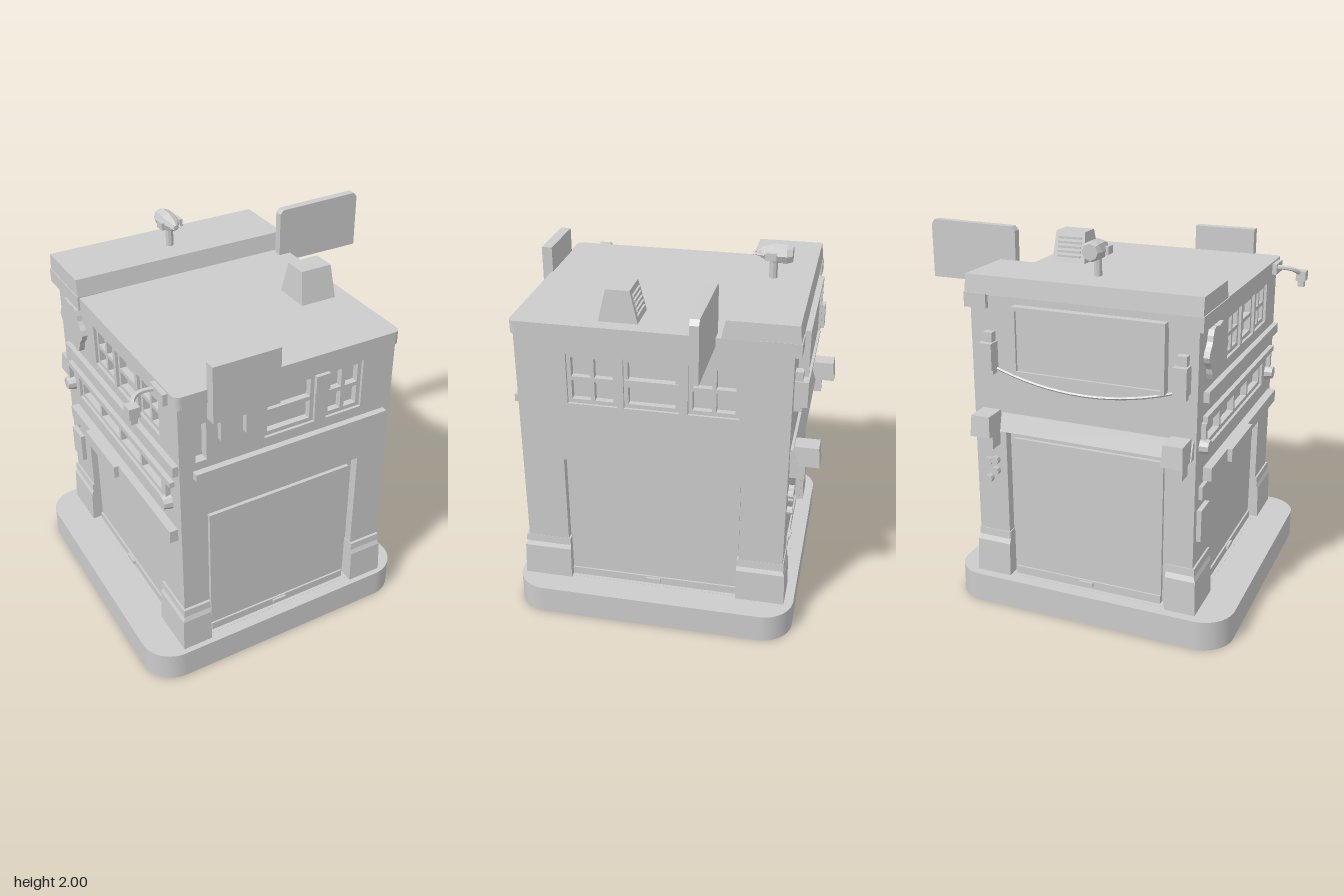
import * as THREE from 'three';

const mat = new THREE.MeshStandardMaterial({ color: 0xcccccc, flatShading: true });
const thin = new THREE.MeshStandardMaterial({ color: 0xcccccc, side: THREE.DoubleSide });

function add(parent, name, geo, m = mat) {
  const mesh = new THREE.Mesh(geo, m);
  mesh.name = name;
  parent.add(mesh);
  return mesh;
}

// box given by its limits along x, y and z
function box(parent, name, x0, x1, y0, y1, z0, z1) {
  const g = new THREE.BoxGeometry(x1 - x0, y1 - y0, z1 - z0);
  g.translate((x0 + x1) / 2, (y0 + y1) / 2, (z0 + z1) / 2);
  return add(parent, name, g);
}

// box whose top corners move to other x and z limits
function frustum(parent, name, [x0, x1, y0, y1, z0, z1], [tx0, tx1, tz0, tz1]) {
  const mesh = box(parent, name, x0, x1, y0, y1, z0, z1);
  const p = mesh.geometry.attributes.position;
  for (let i = 0; i < p.count; i++) {
    if (p.getY(i) < (y0 + y1) / 2) continue;
    p.setX(i, p.getX(i) < (x0 + x1) / 2 ? tx0 : tx1);
    p.setZ(i, p.getZ(i) < (z0 + z1) / 2 ? tz0 : tz1);
  }
  mesh.geometry.computeVertexNormals();
  return mesh;
}

function rectPath(T, x0, x1, y0, y1) {
  const s = new T();
  s.moveTo(x0, y0).lineTo(x1, y0).lineTo(x1, y1).lineTo(x0, y1).closePath();
  return s;
}

function roundedRect(x0, x1, y0, y1, r) {
  const s = new THREE.Shape();
  s.absarc(x1 - r, y1 - r, r, 0, Math.PI / 2);
  s.absarc(x0 + r, y1 - r, r, Math.PI / 2, Math.PI);
  s.absarc(x0 + r, y0 + r, r, Math.PI, Math.PI * 1.5);
  s.absarc(x1 - r, y0 + r, r, Math.PI * 1.5, Math.PI * 2);
  return s.closePath();
}

// plate with rectangular openings, from depth z0 to z1
function plate(parent, name, limits, holes, z0, z1) {
  const s = rectPath(THREE.Shape, ...limits);
  for (const h of holes) s.holes.push(rectPath(THREE.Path, ...h));
  const g = new THREE.ExtrudeGeometry(s, { depth: z1 - z0, bevelEnabled: false });
  return add(parent, name, g.translate(0, 0, z0));
}

// frame with a grid of glass openings
function windowFrame(face, [x0, x1, y0, y1], cols, rows, bar = 0.022) {
  const holes = [];
  const w = (x1 - x0 - bar * (cols + 1)) / cols, h = (y1 - y0 - bar * (rows + 1)) / rows;
  for (let c = 0; c < cols; c++) for (let r = 0; r < rows; r++) {
    const x = x0 + bar + c * (w + bar), y = y0 + bar + r * (h + bar);
    holes.push([x, x + w, y, y + h]);
  }
  plate(face, 'windowFrame', [x0, x1, y0, y1], holes, -0.05, -0.015);
}

// recessed roll door with bottom rail and handle
function door(face, [x0, x1, , y1], inset) {
  box(face, 'door', x0 + inset, x1 - inset, 0.16, y1 - inset * 2, -0.05, -0.03);
  box(face, 'doorRail', x0 + inset, x1 - inset, 0.16, 0.205, -0.05, -0.02);
  const c = (x0 + x1) / 2;
  box(face, 'doorHandle', c - 0.04, c + 0.04, 0.18, 0.2, -0.02, -0.008);
}

// one side of the building; local x runs right as seen from outside, z = 0 is the wall surface
function makeFace(parent, name, pos, angle, u0, u1, openings) {
  const f = new THREE.Group();
  f.name = name;
  f.position.set(...pos);
  f.rotation.y = angle;
  parent.add(f);
  plate(f, 'wall', [u0, u1, 0.16, 1.7], openings, -0.05, 0);
  return f;
}

export function createModel() {
  const root = new THREE.Group();

  // hollow base slab, open below
  const outline = roundedRect(-0.93, 0.625, -0.82, 0.74, 0.17);
  const top = new THREE.ShapeGeometry(outline, 8).rotateX(-Math.PI / 2).translate(0, 0.16, 0);
  add(root, 'baseTop', top, thin);
  const rim = outline.getPoints(8), pos = [], idx = [];
  rim.forEach((p, i) => {
    pos.push(p.x, 0, -p.y, p.x, 0.16, -p.y);
    if (i < rim.length - 1) idx.push(2 * i, 2 * i + 2, 2 * i + 1, 2 * i + 1, 2 * i + 2, 2 * i + 3);
  });
  const rimGeo = new THREE.BufferGeometry().setIndex(idx);
  rimGeo.setAttribute('position', new THREE.Float32BufferAttribute(pos, 3));
  rimGeo.computeVertexNormals();
  add(root, 'baseRim', rimGeo, thin);

  // inner body behind the wall openings
  box(root, 'body', -0.68, 0.425, 0.16, 1.7, -0.62, 0.71);

  // front side
  const fd = [-0.59, 0.3, 0.15999, 1.0], fw = [[-0.27, 0.015, 1.33, 1.6], [0.08, 0.29, 1.33, 1.6]];
  const front = makeFace(root, 'frontSide', [0, 0, 0.76], 0, -0.73, 0.475,
    [[fd[0], fd[1], 0.161, fd[3]], ...fw, [-0.645, -0.585, 1.32, 1.53]]);
  door(front, fd, 0.03);
  windowFrame(front, fw[0], 1, 2);
  windowFrame(front, fw[1], 2, 2);
  box(front, 'windowLight', 0.005, 0.085, 1.51, 1.6, 0, 0.02);
  box(front, 'ledge', -0.66, 0.435, 1.235, 1.275, 0, 0.035);
  box(front, 'frontSign', -0.585, -0.23, 1.56, 1.86, 0.012, 0.07);
  for (const x of [-0.525, -0.39]) box(front, 'signStrap', x, x + 0.06, 1.42, 1.57, 0, 0.03);

  // right-hand side
  const rd = [-0.53, 0.43, 0.161, 0.93];
  const rw = [[-0.49, -0.225, 1.275, 1.555], [-0.19, 0.1, 1.275, 1.555], [0.145, 0.41, 1.275, 1.555]];
  const right = makeFace(root, 'windowSide', [0.475, 0, 0], Math.PI / 2, -0.76, 0.67, [rd, ...rw]);
  door(right, rd, 0.005);
  rw.forEach((w, i) => windowFrame(right, w, i === 1 ? 1 : 2, 2));
  box(right, 'windowBar', -0.19, 0.1, 1.395, 1.435, -0.05, -0.008);

  // back side
  const bd = [-0.3, 0.58, 0.161, 1.0];
  const back = makeFace(root, 'backSide', [0, 0, -0.67], Math.PI, -0.475, 0.73, [bd]);
  door(back, bd, 0.025);
  plate(back, 'billboardFrame', [-0.22, 0.58, 1.33, 1.68], [[-0.2, 0.56, 1.35, 1.66]], 0, 0.055);
  box(back, 'billboard', -0.2, 0.56, 1.35, 1.66, 0, 0.04);
  frustum(back, 'doorBeam', [-0.42, 0.72, 1.01, 1.1, 0, 0.045], [-0.42, 0.72, 0, 0.015]);
  for (const u of [-0.365, 0.66]) {
    // beam lamp with bracket, and wall fixture above
    box(back, 'lampBracket', u - 0.03, u + 0.03, 0.92, 1.02, 0, 0.08);
    frustum(back, 'lampHousing', [u - 0.055, u + 0.055, 1.01, 1.12, 0, 0.155], [u - 0.05, u + 0.05, 0.02, 0.145]);
    box(back, 'wallFixture', u - 0.035, u + 0.035, 1.34, 1.48, 0, 0.07);
    box(back, 'fixturePlate', u - 0.025, u + 0.025, 1.31, 1.53, 0, 0.04);
  }
  const cable = new THREE.QuadraticBezierCurve3(new THREE.Vector3(-0.365, 1.35, 0.01),
    new THREE.Vector3(0.15, 1.16, 0.01), new THREE.Vector3(0.66, 1.35, 0.01));
  add(back, 'cable', new THREE.TubeGeometry(cable, 16, 0.008, 5));
  for (const [u, v] of [[-0.4, 0.82], [-0.36, 0.77], [-0.4, 0.72], [-0.36, 0.83]])
    add(back, 'knob', new THREE.CylinderGeometry(0.022, 0.022, 0.03, 8).rotateX(Math.PI / 2).translate(u, v, 0.015));

  // left-hand side
  const ld = [-0.42, 0.52, 0.161, 0.85];
  const lw = [[-0.2, 0.04, 1.38, 1.6], [0.07, 0.3, 1.38, 1.6], [0.33, 0.56, 1.38, 1.6]];
  const strip = [-0.5, 0.55, 1.0, 1.13];
  const left = makeFace(root, 'beamSide', [-0.73, 0, 0], -Math.PI / 2, -0.67, 0.76, [ld, strip, ...lw]);
  door(left, ld, 0.02);
  lw.forEach((w, i) => windowFrame(left, w, i === 1 ? 1 : 2, 2));
  windowFrame(left, strip, 4, 1);
  box(left, 'upperBeam', -0.58, 0.75, 1.27, 1.325, 0, 0.03);
  box(left, 'middleBeam', -0.58, 0.7, 1.17, 1.2, 0, 0.025);
  box(left, 'lowerBeam', -0.55, 0.72, 0.85, 0.92, 0, 0.045);
  box(left, 'beamCentre', -0.275, 0.11, 0.85, 0.92, 0, 0.07);
  for (const u of [-0.59, 0.64]) {
    add(left, 'roundLamp', new THREE.CylinderGeometry(0.035, 0.045, 0.045, 10).rotateX(Math.PI / 2).translate(u, 1.05, 0.022));
    box(left, 'lampArm', u - 0.012, u + 0.012, 1.05, 1.17, 0, 0.025);
  }
  box(left, 'meterBox', -0.63, -0.5, 0.55, 0.72, 0, 0.025);
  box(left, 'switchBox', -0.61, -0.53, 0.77, 0.84, 0, 0.02);
  // scalloped wall plaque
  const blob = new THREE.Shape();
  for (let i = 0; i < 32; i++) {
    const a = i / 32 * Math.PI * 2, r = 1 + 0.1 * Math.cos(6 * a);
    blob[i ? 'lineTo' : 'moveTo'](-0.45 + 0.14 * r * Math.cos(a), 1.5 + 0.135 * r * Math.sin(a));
  }
  add(left, 'plaque', new THREE.ExtrudeGeometry(blob, { depth: 0.03, bevelEnabled: false }));

  // flared corner footings with collars
  for (const [x0, x1, ox] of [[-0.755, -0.59, -1], [0.295, 0.492, 1]])
    for (const [z0, z1, oz] of [[0.52, 0.79, 1], [-0.69, -0.42, -1]]) {
      const cut = d => [ox < 0 ? x0 + d : x0, ox > 0 ? x1 - d : x1, oz < 0 ? z0 + d : z0, oz > 0 ? z1 - d : z1];
      const a = cut(0.006), b = cut(0.012);
      frustum(root, 'footing', [x0, x1, 0.16, 0.345, z0, z1], a);
      frustum(root, 'footingSlope', [a[0], a[1], 0.345, 0.375, a[2], a[3]], cut(0.02));
      frustum(root, 'footingCollar', [b[0], b[1], 0.375, 0.415, b[2], b[3]], cut(0.015));
    }

  // roof slab with cornice
  const roof = new THREE.ExtrudeGeometry(roundedRect(-0.75, 0.488, -0.78, 0.68, 0.035),
    { depth: 0.07, bevelEnabled: false, curveSegments: 3 });
  add(root, 'roof', roof.rotateX(-Math.PI / 2).translate(0, 1.65, 0));

  // raised back parapet with corner blocks
  frustum(root, 'parapet', [-0.755, 0.49, 1.72, 1.815, -0.7, -0.31], [-0.755, 0.485, -0.69, -0.33]);
  box(root, 'cornerBlock', -0.76, -0.62, 1.65, 1.725, -0.705, -0.31);
  box(root, 'cornerBlock', 0.37, 0.492, 1.65, 1.725, -0.705, -0.5);

  // roof vent with slats on its back
  frustum(root, 'roofVent', [0.205, 0.405, 1.72, 1.89, 0.125, 0.33], [0.22, 0.395, 0.165, 0.29]);
  for (let i = 0; i < 5; i++) {
    const z = 0.132 + i * 0.006, y = 1.75 + i * 0.025;
    box(root, 'ventSlat', 0.235, 0.375, y, y + 0.012, z - 0.008, z + 0.02);
  }

  // side sign with clipped corners
  const sign = new THREE.Shape();
  sign.moveTo(0.42, 1.675).lineTo(0.925, 1.675).lineTo(0.925, 1.965).lineTo(0.905, 1.99)
    .lineTo(0.44, 1.982).lineTo(0.42, 1.96).closePath();
  add(root, 'sideSign', new THREE.ExtrudeGeometry(sign, { depth: 0.045, bevelEnabled: false }).translate(0, 0, -0.283));

  // siren on the parapet, horn pointing forward
  const siren = new THREE.Group();
  siren.name = 'siren';
  siren.position.set(-0.14, 0, -0.48);
  root.add(siren);
  add(siren, 'sirenPost', new THREE.CylinderGeometry(0.022, 0.022, 0.13, 8).translate(0, 1.865, 0));
  const horn = [[0, -0.1], [0.042, -0.1], [0.052, -0.07], [0.052, 0.0], [0.03, 0.065], [0.012, 0.085], [0, 0.085]]
    .map(([r, h]) => new THREE.Vector2(r, h));
  add(siren, 'sirenHead', new THREE.LatheGeometry(horn, 8).rotateX(Math.PI / 2).translate(0, 1.948, 0));
  for (const x of [-0.02, 0.025])
    add(siren, 'sirenProng', new THREE.ConeGeometry(0.012, 0.07, 5).rotateX(Math.PI / 2).translate(x, 1.945, 0.085));
  for (const x of [-0.054, 0.054]) box(siren, 'sirenEar', x - 0.009, x + 0.009, 1.925, 1.965, -0.02, 0.04);

  // lamp on a bent arm at the front corner
  const arm = new THREE.CatmullRomCurve3([[-0.73, 1.685, 0.615], [-0.83, 1.69, 0.605], [-0.87, 1.68, 0.615], [-0.9, 1.65, 0.65]]
    .map(p => new THREE.Vector3(...p)));
  add(root, 'lampArm', new THREE.TubeGeometry(arm, 10, 0.013, 6));
  box(root, 'lampWallPlate', -0.775, -0.73, 1.65, 1.71, 0.58, 0.71);
  box(root, 'streetLampHead', -0.93, -0.875, 1.615, 1.67, 0.63, 0.69);
  box(root, 'streetLampLens', -0.92, -0.885, 1.58, 1.615, 0.64, 0.68);

  return root;
}
